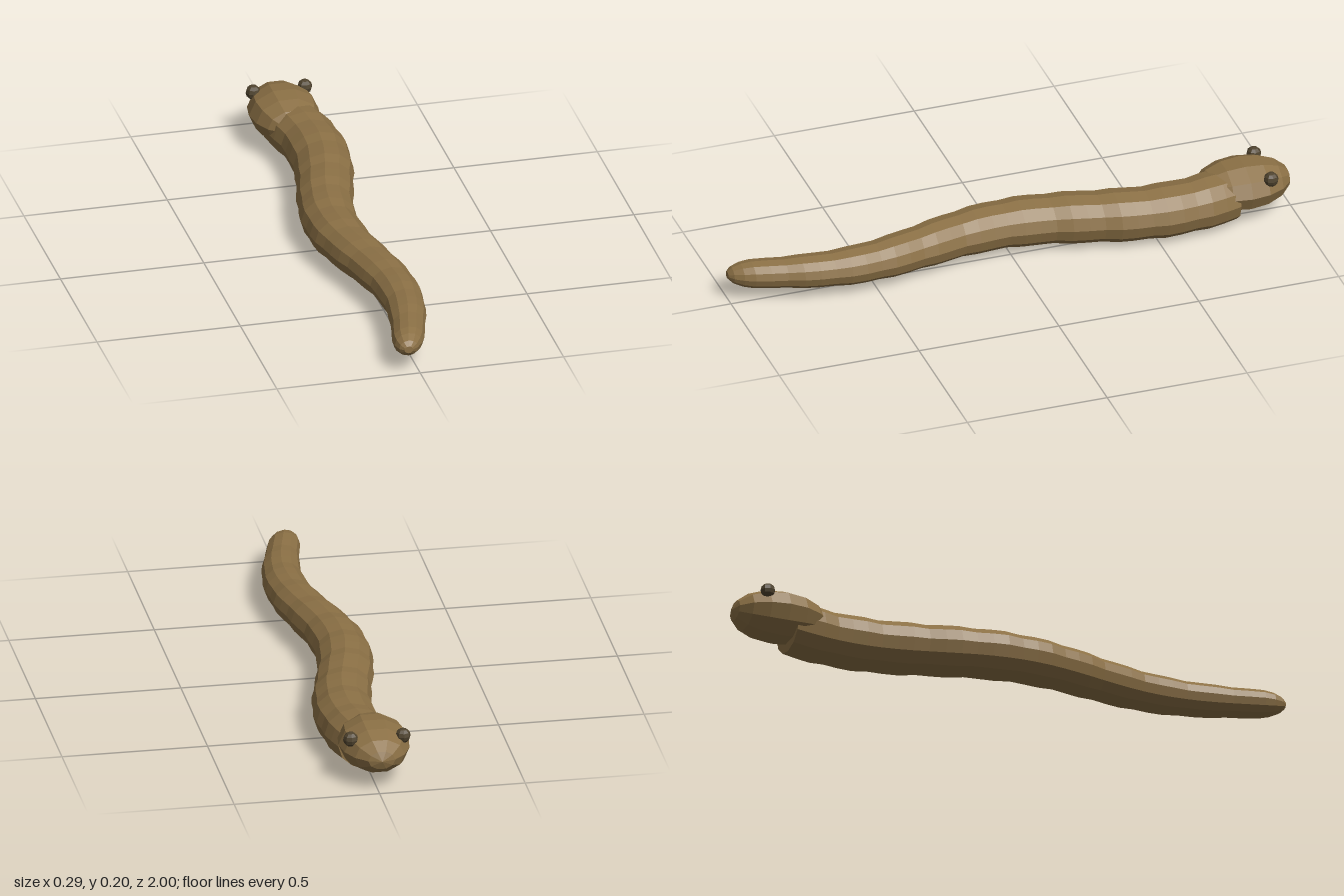
import * as THREE from 'three';

const skin = new THREE.MeshStandardMaterial({ color: 0x8b7045, flatShading: true });
skin.name = 'brown skin';
const eyeDark = new THREE.MeshStandardMaterial({ color: 0x4f432e, flatShading: true });
eyeDark.name = 'dark eye';

const SIDES = 12;

// Sideways sway of the spine along z
const sway = z => -0.01 + 0.046 * Math.cos((2 * Math.PI * (z + 0.55)) / 1.14);

// Tapering half width with gentle segment bumps
function halfWidth(z) {
  const t = (z + 0.8) / 1.8;
  return 0.105 * (1 - 0.52 * t * t) * (1 + 0.03 * Math.cos((2 * Math.PI * (z - 0.26)) / 0.16));
}

// Body lofted through twelve-sided oval rings, closed at both ends
function bodyGeometry() {
  const rings = [];
  const steps = 32;
  for (let i = 0; i <= steps; i++) {
    const z = -0.79 + (1.71 * i) / steps;
    rings.push([z, halfWidth(z)]);
  }
  rings.push([0.955, 0.048], [0.985, 0.033], [1.0, 0.015]);

  const pos = [], index = [];
  for (const [z, r] of rings) {
    for (let j = 0; j < SIDES; j++) {
      const a = (j / SIDES) * Math.PI * 2;
      pos.push(sway(z) + r * Math.cos(a), 0.092 + 0.85 * r * Math.sin(a), z);
    }
  }
  for (let i = 0; i < rings.length - 1; i++) {
    for (let j = 0; j < SIDES; j++) {
      const a = i * SIDES + j, b = i * SIDES + ((j + 1) % SIDES);
      index.push(a, b, b + SIDES, a, b + SIDES, a + SIDES);
    }
  }
  // End caps
  const last = (rings.length - 1) * SIDES;
  for (let j = 1; j < SIDES - 1; j++) {
    index.push(0, j + 1, j);
    index.push(last, last + j, last + j + 1);
  }
  const g = new THREE.BufferGeometry();
  g.setAttribute('position', new THREE.Float32BufferAttribute(pos, 3));
  g.setIndex(index);
  g.computeVertexNormals();
  return g;
}

export function createModel() {
  const model = new THREE.Group();
  model.name = 'worm';

  const body = new THREE.Mesh(bodyGeometry(), skin);
  body.name = 'body';
  model.add(body);

  // Oval head with its poles along the body
  const headGeo = new THREE.SphereGeometry(1, 10, 8);
  headGeo.rotateX(-Math.PI / 2);
  headGeo.scale(0.121, 0.086, 0.17);
  const head = new THREE.Mesh(headGeo, skin);
  head.name = 'head';
  head.position.set(-0.01, 0.117, -0.83);
  model.add(head);

  // Small faceted eyes
  for (const side of [-1, 1]) {
    const eye = new THREE.Mesh(new THREE.SphereGeometry(0.026, 8, 6), eyeDark);
    eye.name = side > 0 ? 'leftEye' : 'rightEye';
    eye.position.set(-0.008 + side * 0.09, 0.167, -0.903);
    model.add(eye);
  }
  return model;
}
